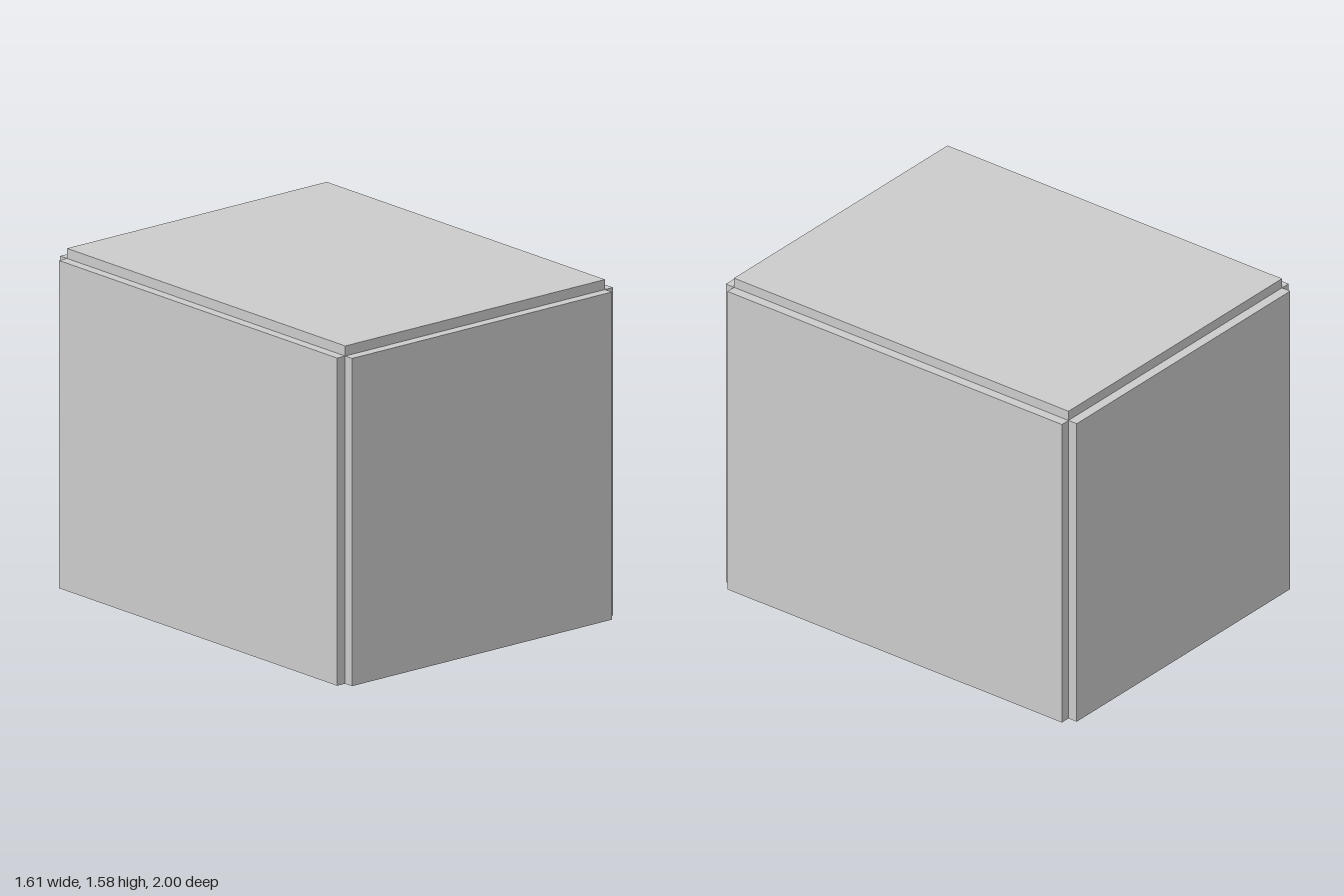
import * as THREE from 'three';

const STEP = 0.047; // each panel stands this far proud of its neighbours
const X = 0.807, Z = 1, TOP = 1.575; // outer extents

export function createModel() {
  const group = new THREE.Group();
  const material = new THREE.MeshStandardMaterial({ color: 0xcccccc, flatShading: true });

  function slab(name, parent, size, position) {
    const mesh = new THREE.Mesh(new THREE.BoxGeometry(...size), material);
    mesh.name = name;
    mesh.position.set(...position);
    parent.add(mesh);
  }

  const wallHeight = TOP - STEP;
  const innerWidth = 2 * (X - 2 * STEP), innerDepth = 2 * (Z - 2 * STEP);

  for (const side of [1, -1]) {
    // Side walls, full thickness
    slab(side > 0 ? 'leftWall' : 'rightWall', group,
      [2 * STEP, wallHeight, 2 * (Z - STEP)], [side * (X - STEP), wallHeight / 2, 0]);

    // Front and back walls: outer panel with a lining fitted between the side walls
    const wall = new THREE.Group();
    wall.name = side > 0 ? 'frontWall' : 'backWall';
    slab('outerPanel', wall, [2 * (X - STEP), wallHeight, STEP], [0, wallHeight / 2, side * (Z - STEP / 2)]);
    slab('lining', wall, [innerWidth, wallHeight, STEP], [0, wallHeight / 2, side * (Z - 1.5 * STEP)]);
    group.add(wall);
  }

  // Lid: raised panel with a lining sunk between the walls; the bottom stays open
  const lid = new THREE.Group();
  lid.name = 'lid';
  slab('outerPanel', lid, [2 * (X - STEP), STEP, 2 * (Z - STEP)], [0, TOP - STEP / 2, 0]);
  slab('lining', lid, [innerWidth, STEP, innerDepth], [0, TOP - 1.5 * STEP, 0]);
  group.add(lid);

  return group;
}
